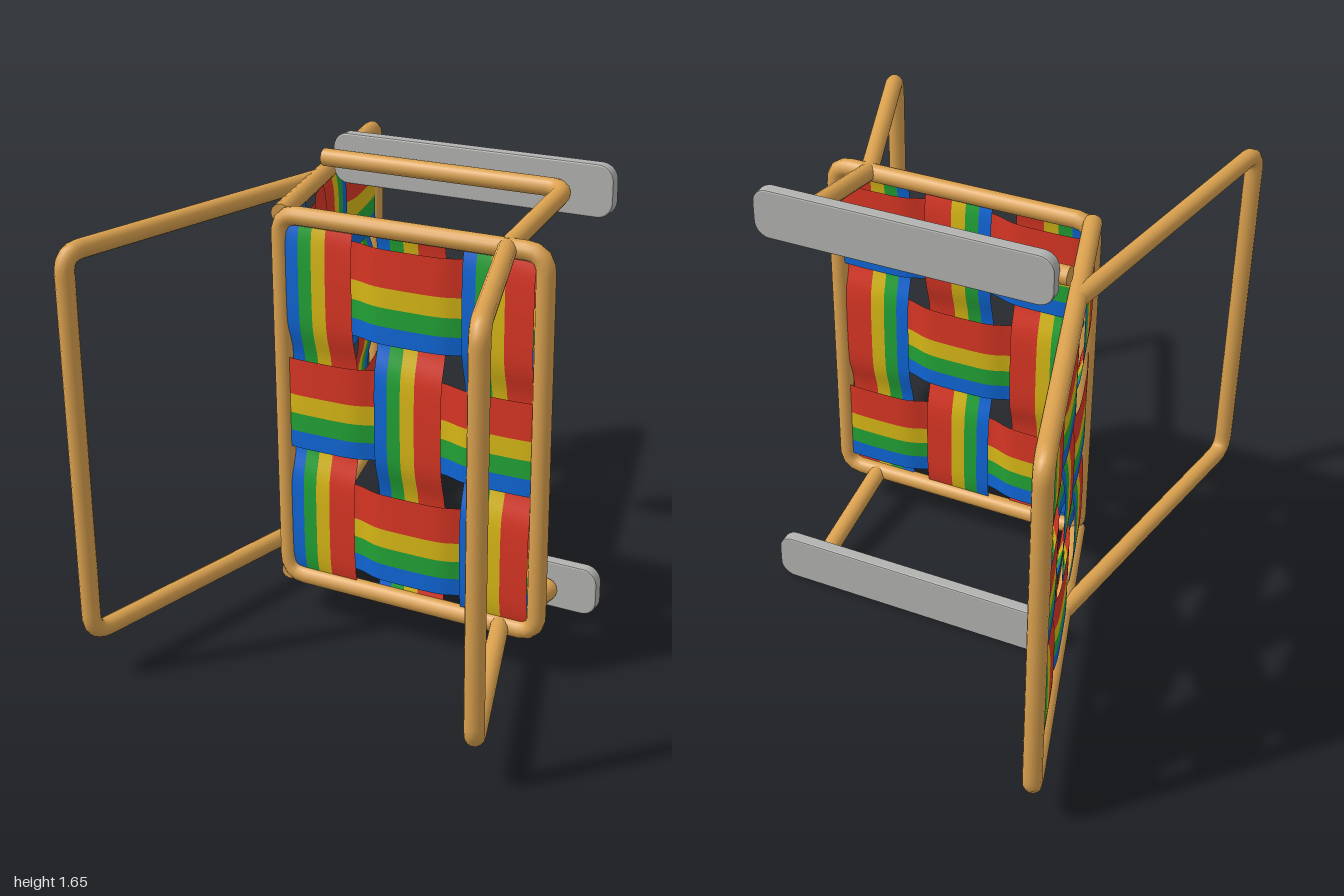
import * as THREE from 'three';

const material = (name, color, side = THREE.FrontSide) => {
  const m = new THREE.MeshStandardMaterial({ color, side });
  m.name = name;
  return m;
};
const R = 0.032;            // tube radius
const MID = 0.8265;         // middle of the chair's width, along y
const LO = 0.168, HI = 1.485; // frame rails
const V = (x, y, z = 0) => new THREE.Vector3(x, y, z);

// Path of straight runs joined by rounded corners
function roundedPath(points, radius, closed = false) {
  const path = new THREE.CurvePath();
  const n = points.length;
  const toward = (a, b) => a.clone().add(b.clone().sub(a).setLength(radius));
  let cursor = closed ? toward(points[0], points[1]) : points[0];
  for (let k = 1; k < (closed ? n + 1 : n - 1); k++) {
    const p = points[k % n];
    const a = toward(p, points[k - 1]), b = toward(p, points[(k + 1) % n]);
    path.add(new THREE.LineCurve3(cursor, a));
    path.add(new THREE.QuadraticBezierCurve3(a, p, b));
    cursor = b;
  }
  if (!closed) path.add(new THREE.LineCurve3(cursor, points[n - 1]));
  return path;
}

// Round tube with flat end caps
function tube(name, points, mat, closed = false) {
  const group = new THREE.Group();
  group.name = name;
  const path = roundedPath(points, 0.065, closed);
  group.add(new THREE.Mesh(new THREE.TubeGeometry(path, 160, R, 14, closed), mat));
  if (!closed) {
    for (const t of [0, 1]) {
      const cap = new THREE.Mesh(new THREE.CircleGeometry(R, 14), mat);
      const end = path.getPointAt(t);
      const out = path.getTangentAt(t).multiplyScalar(t ? 1 : -1);
      cap.position.copy(end);
      cap.lookAt(end.clone().add(out));
      group.add(cap);
    }
  }
  group.children.forEach((m) => { m.name = name; });
  return group;
}

// Group whose local x runs from one (x, z) point to another, local y stays up
function panel(name, from, to) {
  const group = new THREE.Group();
  const dx = to[0] - from[0], dz = to[1] - from[1];
  group.name = name;
  group.position.set(from[0], 0, from[1]);
  group.rotation.y = Math.atan2(-dz, dx);
  return { group, length: Math.hypot(dx, dz) };
}

const uFrame = (name, length, mat) =>
  tube(name, [V(0, LO), V(length, LO), V(length, HI), V(0, HI)], mat);

// Basket weave of striped straps; stripes run red to blue
function weave(panelGroup, colors, cols, colWidth, span, flipColumns, sign) {
  const rows = [1.26, MID, 0.393], rowWidth = 0.325;
  const colPitch = cols[1] - cols[0], rowPitch = rows[0] - rows[1];
  const shares = [0.4, 0.21, 0.2, 0.19];
  const wave = (d, pitch) => 0.019 * Math.tanh(2.2 * Math.cos((Math.PI * d) / pitch)) / 0.976;

  const strap = (name, center, width, start, end, redFirst, alongX, lift) => {
    const group = new THREE.Group();
    group.name = name;
    let offset = -width / 2;
    shares.forEach((share, i) => {
      const w = share * width;
      const mid = center + (offset + w / 2) * (redFirst ? 1 : -1);
      offset += w;
      const geo = new THREE.PlaneGeometry(end - start, w, 64, 1);
      const pos = geo.attributes.position;
      if (!alongX) geo.rotateZ(Math.PI / 2);
      geo.translate(alongX ? (start + end) / 2 : mid, alongX ? mid : (start + end) / 2, 0);
      for (let k = 0; k < pos.count; k++) pos.setZ(k, lift(alongX ? pos.getX(k) : pos.getY(k)));
      geo.computeVertexNormals();
      const mesh = new THREE.Mesh(geo, colors[i]);
      mesh.name = 'strapStripe';
      group.add(mesh);
    });
    panelGroup.add(group);
  };

  rows.forEach((y, r) => {
    const s = r % 2 ? sign : -sign;
    strap('longStrap', y, rowWidth, span[0], span[1], false, true,
      (u) => s * wave(u - cols[0], colPitch));
  });
  cols.forEach((u, c) => {
    const s = c % 2 ? -sign : sign;
    strap('crossStrap', u, colWidth, 0.195, 1.458, flipColumns, false,
      (y) => s * wave(y - rows[0], rowPitch));
  });
}

export function createModel() {
  const model = new THREE.Group();
  model.name = 'foldingChair';
  const wood = material('tanTube', 0xd9a04e);
  const grey = material('greyArmrest', 0xb2b2b0);
  const colors = [['red', 0xd93624], ['yellow', 0xd8b816], ['green', 0x22a336], ['blue', 0x0f66d6]]
    .map(([n, c]) => material(n + 'Webbing', c, THREE.DoubleSide));

  // Seat: closed frame and webbing
  const hinge = [-0.362, 0.277];
  const seat = panel('seat', hinge, [0.595, 0.277]);
  const L = seat.length;
  seat.group.add(tube('seatFrame', [V(0, LO), V(L, LO), V(L, HI), V(0, HI)], wood, true));
  weave(seat.group, colors, [0.152, 0.482, 0.803], 0.25, [0.02, 0.935], false, 1);
  model.add(seat.group);

  // Backrest: U frame and webbing
  const back = panel('backrest', hinge, [-0.7, -0.967]);
  back.group.add(uFrame('backFrame', back.length, wood));
  weave(back.group, colors, [0.207, 0.637, 1.067], 0.28, [0.02, 1.265], true, -1);
  model.add(back.group);

  // Legs: two U frames
  const legs = [
    ['frontLegs', [0.463, 0.277], [0.703, 0.967]],
    ['rearLegs', [-0.484, -0.175], [-0.708, 0.967]],
  ];
  for (const [name, from, to] of legs) {
    const leg = panel(name, from, to);
    leg.group.add(uFrame(name + 'Frame', leg.length, wood));
    model.add(leg.group);
  }

  // Armrest plate outline
  const x0 = -0.427, x1 = 0.613, h = 0.084, r = 0.05;
  const shape = new THREE.Shape();
  shape.absarc(x1 - r, h - r, r, 0, Math.PI / 2);
  shape.absarc(x0 + r, h - r, r, Math.PI / 2, Math.PI);
  shape.absarc(x0 + r, r - h, r, Math.PI, Math.PI * 1.5);
  shape.absarc(x1 - r, r - h, r, Math.PI * 1.5, Math.PI * 2);
  const plateGeo = new THREE.ExtrudeGeometry(shape, {
    depth: 0.034, bevelThickness: 0.006, bevelSize: 0.006, bevelSegments: 2, curveSegments: 8,
  });

  // Arms on both sides
  for (const side of [1, -1]) {
    const y = (d) => MID + side * d;
    model.add(tube('armTube', [
      V(0.463, y(0.66), 0.277), V(0.463, y(0.737), -0.175), V(-0.458, y(0.737), -0.175),
    ], wood));
    const plate = new THREE.Mesh(plateGeo, grey);
    plate.name = 'armrest';
    plate.position.set(0, y(0.7365), -0.234);
    model.add(plate);
  }
  return model;
}
